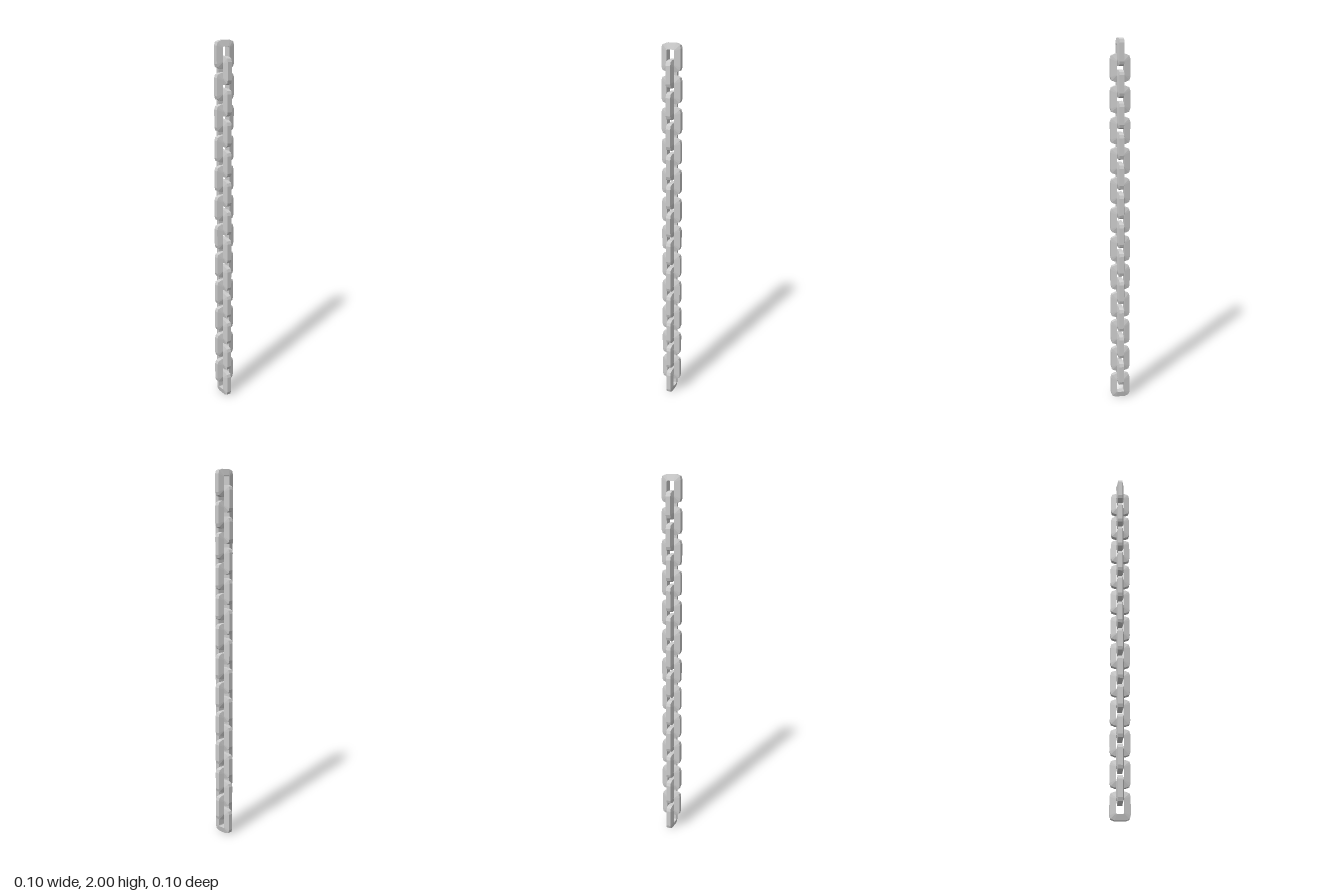
import * as THREE from 'three';

const LINKS = 24;
const LINK_HEIGHT = 0.142;
const PITCH = (2 - LINK_HEIGHT) / (LINKS - 1);

// One quarter of the link outline: [outer x, outer y, inner x, inner y]
const QUARTER = [
  [0.0525, 0.046, 0.0205, 0.034],
  [0.047, 0.063, 0.0195, 0.038],
  [0.027, 0.071, 0.014, 0.04],
];

// Mirror the quarter into a full counter-clockwise outline
function linkOutline() {
  const flip = (sx, sy) => ([a, b, c, d]) => [a * sx, b * sy, c * sx, d * sy];
  const reversed = [...QUARTER].reverse();
  return [
    ...QUARTER,
    ...reversed.map(flip(-1, 1)),
    ...QUARTER.map(flip(-1, -1)),
    ...reversed.map(flip(1, -1)),
  ];
}

// Sweep a four-sided section, narrow outside and wide inside, round the outline
function linkGeometry() {
  const outer = 0.0125, inner = 0.02;
  const rings = linkOutline().map(([ox, oy, ix, iy]) => [
    [ox, oy, outer], [ix, iy, inner], [ix, iy, -inner], [ox, oy, -outer],
  ]);
  const positions = [];
  rings.forEach((ring, i) => {
    const next = rings[(i + 1) % rings.length];
    for (let j = 0; j < 4; j++) {
      const k = (j + 1) % 4;
      const [a, b, c, d] = [ring[j], next[j], next[k], ring[k]];
      positions.push(...a, ...b, ...c, ...a, ...c, ...d);
    }
  });
  const geometry = new THREE.BufferGeometry();
  geometry.setAttribute('position', new THREE.Float32BufferAttribute(positions, 3));
  geometry.computeVertexNormals();
  return geometry;
}

export function createModel() {
  const chain = new THREE.Group();
  chain.name = 'chain';
  const geometry = linkGeometry();
  const material = new THREE.MeshStandardMaterial({ color: 0xcccccc, flatShading: true });

  // Hang the links from the top, turning every second one a quarter turn
  for (let i = 0; i < LINKS; i++) {
    const link = new THREE.Mesh(geometry, material);
    link.name = `chainLink${i + 1}`;
    link.position.y = 2 - LINK_HEIGHT / 2 - i * PITCH;
    link.rotation.y = (i % 2) * Math.PI / 2;
    chain.add(link);
  }
  return chain;
}
